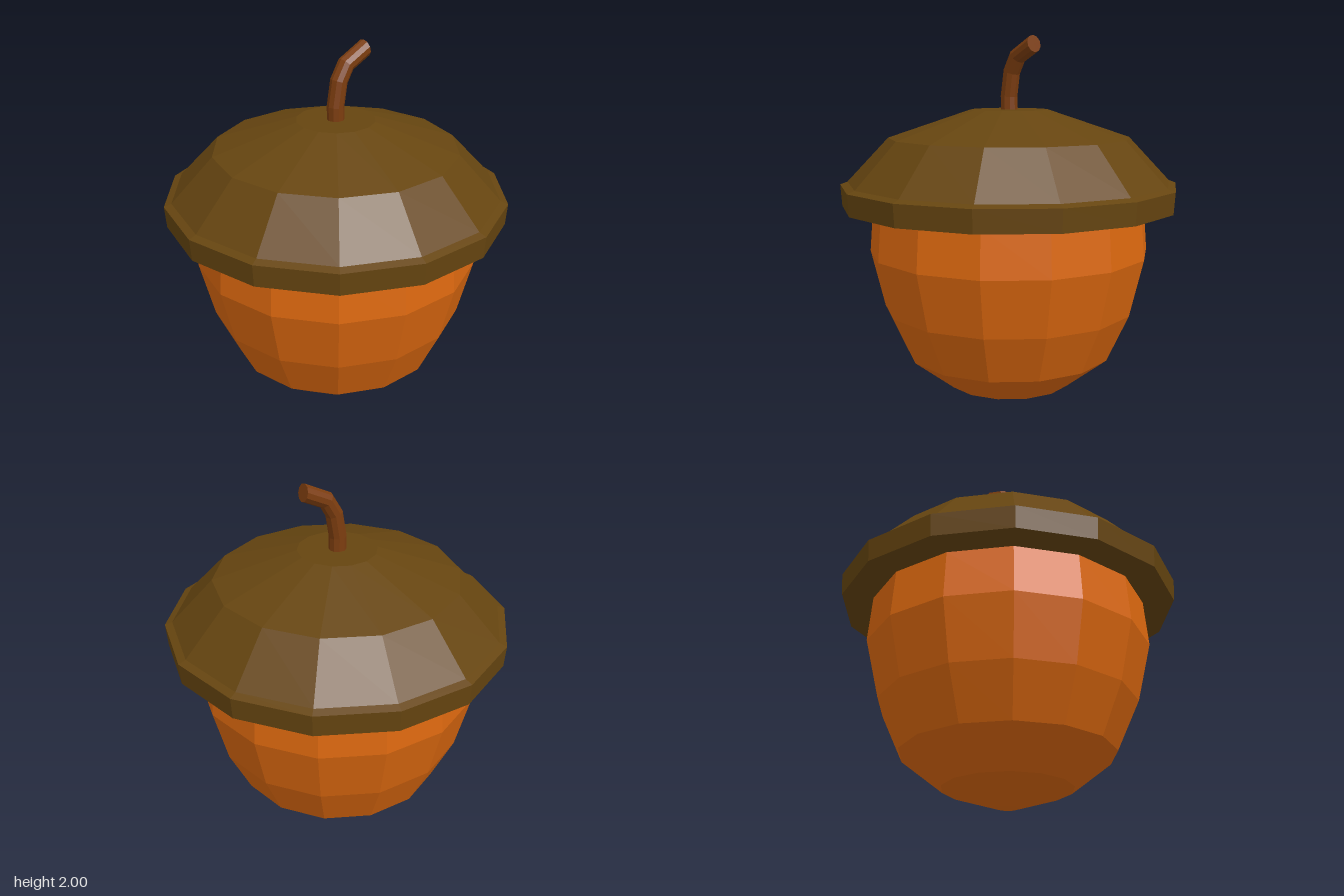
import * as THREE from 'three';

const SIDES = 14;

function mesh(name, geometry, color) {
  const flat = geometry.toNonIndexed();
  flat.computeVertexNormals();
  const m = new THREE.Mesh(flat, new THREE.MeshStandardMaterial({ color, flatShading: true }));
  m.name = name;
  return m;
}

// Faceted turned solid from [radius, height] pairs, bottom to top
function turned(name, profile, color) {
  const points = profile.map(([r, y]) => new THREE.Vector2(r, y));
  return mesh(name, new THREE.LatheGeometry(points, SIDES), color);
}

// Tube whose rings are [height, z, backward tilt]
function bentStem(name, rings, radius, color) {
  const n = rings.length - 1;
  const g = new THREE.CylinderGeometry(radius, radius, 1, 10, n);
  const p = g.attributes.position;
  for (let i = 0; i < p.count; i++) {
    const [y, z, tilt] = rings[Math.round((p.getY(i) + 0.5) * n)];
    const d = p.getZ(i);
    p.setXYZ(i, p.getX(i), y + d * Math.sin(tilt), z + d * Math.cos(tilt));
  }
  return mesh(name, g, color);
}

export function createModel() {
  const group = new THREE.Group();
  group.name = 'acorn';

  // Nut body, running up inside the cap
  group.add(turned('nut', [
    [0, 0], [0.06, 0], [0.345, 0.095], [0.57, 0.27], [0.69, 0.53],
    [0.765, 0.84], [0.745, 1.09], [0.735, 1.18],
  ], 0xdc680f));

  // Cap with a flat underside, upright rim and domed top
  group.add(turned('cap', [
    [0.7, 1.09], [0.912, 1.09], [0.92, 1.207], [0.88, 1.222],
    [0.655, 1.46], [0.21, 1.61], [0, 1.61],
  ], 0x664510));

  // Stem curving towards the back
  group.add(bentStem('stem', [
    [1.58, 0, 0], [1.68, 0.002, 0.06], [1.81, -0.02, 0.35],
    [1.89, -0.067, 0.8], [1.955, -0.195, 1.33],
  ], 0.046, 0x7c3d0f));

  return group;
}
